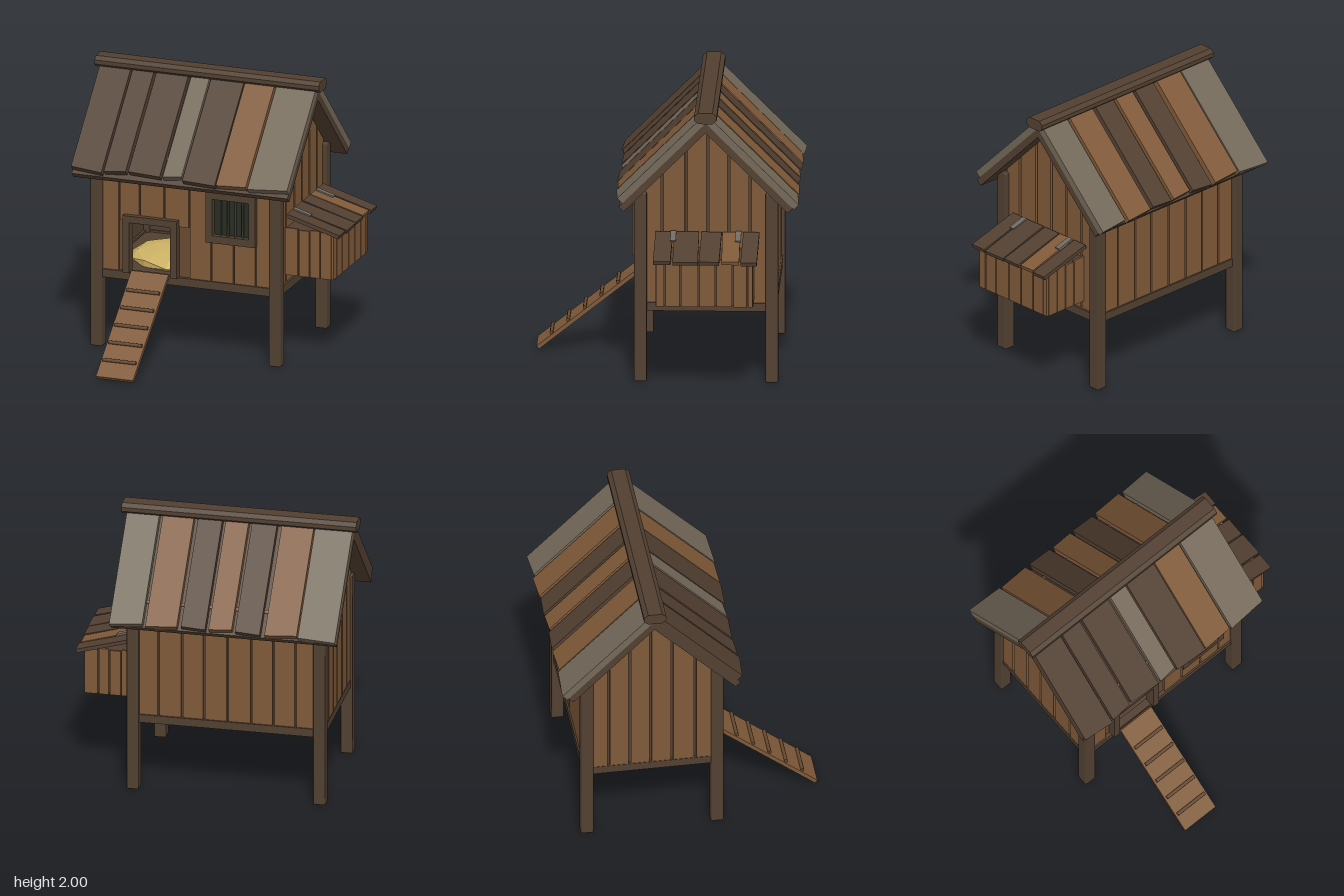
import * as THREE from 'three';
import { RoundedBoxGeometry } from 'three/addons/geometries/RoundedBoxGeometry.js';

const mat = (name, color) => {
  const m = new THREE.MeshStandardMaterial({ color });
  m.name = name;
  return m;
};

export function createModel() {
  const brown = mat('brown plank', 0x805a39);
  const dark = mat('dark timber', 0x524031);
  const grey = mat('weathered grey', 0x746959);
  const shade = mat('shaded plank', 0x674a31);
  const straw = mat('straw', 0xcdb265);
  const glass = mat('window dark', 0x282c22);
  const bar = mat('window bar', 0x3a3c30);
  const metal = mat('hinge metal', 0x6f6a64);

  const model = new THREE.Group();
  model.name = 'chickenCoop';
  const ZC = -0.29, APEX = 1.845;

  const add = (name, geo, material, parent = model) => {
    const m = new THREE.Mesh(geo, material);
    m.name = name;
    parent.add(m);
    return m;
  };
  // Box given by its limits
  const box = (name, material, x0, x1, y0, y1, z0, z1, parent = model) => {
    const m = add(name, new THREE.BoxGeometry(x1 - x0, y1 - y0, z1 - z0), material, parent);
    m.position.set((x0 + x1) / 2, (y0 + y1) / 2, (z0 + z1) / 2);
    return m;
  };
  // Outline in (z, y) extruded along x from x0 to x1
  const prism = (points, x0, x1) => {
    const s = new THREE.Shape(points.map(([z, y]) => new THREE.Vector2(z, y)));
    const g = new THREE.ExtrudeGeometry(s, { depth: x1 - x0, bevelEnabled: false });
    return g.rotateY(-Math.PI / 2).translate(x1, 0, 0);
  };
  // Calls back once per plank between neighbouring cut positions
  const planks = (cuts, gap, fn) => {
    for (let i = 0; i + 1 < cuts.length; i++) fn(cuts[i] + gap / 2, cuts[i + 1] - gap / 2, i);
  };

  // Corner posts
  for (const x of [-0.805, 0.542]) for (const z of [0.175, -0.755]) {
    const p = add('cornerPost', new RoundedBoxGeometry(0.088, 1.38, 0.09, 1, 0.01), dark);
    p.position.set(x, 0.69, z);
  }

  // Floor and sill beams
  box('floor', dark, -0.79, 0.53, 0.515, 0.56, -0.75, 0.17);
  box('frontSill', dark, -0.77, 0.51, 0.515, 0.575, 0.15, 0.205);
  box('backSill', dark, -0.77, 0.51, 0.515, 0.575, -0.785, -0.73);
  for (const x of [-0.835, 0.515]) box('sideSill', dark, x, x + 0.055, 0.515, 0.575, -0.72, 0.14);

  // Inner wall linings, with the doorway left open
  box('backLining', dark, -0.78, 0.52, 0.56, 1.38, -0.755, -0.74);
  box('frontLining', dark, -0.78, -0.64, 0.56, 1.38, 0.16, 0.175);
  box('frontLining', shade, -0.64, -0.55, 0.56, 0.96, 0.16, 0.177);
  box('frontLining', shade, -0.24, -0.11, 0.56, 0.96, 0.16, 0.177);
  box('frontLining', dark, -0.64, -0.11, 0.95, 1.38, 0.16, 0.175);
  box('frontLining', dark, -0.11, 0.52, 0.56, 1.38, 0.16, 0.175);

  // Front and back cladding
  planks([-0.78, -0.64, -0.485, -0.3, -0.11, 0.055, 0.225, 0.39, 0.52], 0.012, (a, b, i) =>
    box('frontPlank', brown, a, b, i >= 1 && i <= 3 ? 0.95 : 0.575, 1.375, 0.174, 0.193));
  planks([-0.78, -0.63, -0.47, -0.31, -0.14, 0.03, 0.19, 0.36, 0.52], 0.014, (a, b) =>
    box('backPlank', brown, a, b, 0.575, 1.375, -0.773, -0.754));

  // Gable ends: lining and planks cut to the roof line
  const roofY = z => APEX + 0.008 - Math.abs(z - ZC);
  const gablePiece = (a, b) => {
    const pts = [[a, 0.57], [b, 0.57], [b, roofY(b)]];
    if (a < ZC && b > ZC) pts.push([ZC, roofY(ZC)]);
    pts.push([a, roofY(a)]);
    return pts;
  };
  for (const [inner, outer] of [[0.52, 0.535], [-0.798, -0.813]]) {
    add('gableLining', prism(gablePiece(-0.75, 0.17), Math.min(inner, outer), Math.max(inner, outer)), dark);
    const x0 = outer > 0 ? outer : outer - 0.019;
    planks([-0.74, -0.6, -0.448, -0.3, -0.147, 0.02, 0.16], 0.018, (a, b) =>
      add('gablePlank', prism(gablePiece(a, b), x0, x0 + 0.019), brown));
  }

  // Door frame
  box('doorPost', dark, -0.6, -0.55, 0.575, 1.0, 0.155, 0.235);
  box('doorPost', dark, -0.24, -0.19, 0.575, 1.0, 0.155, 0.235);
  box('doorLintel', dark, -0.55, -0.24, 0.95, 1.0, 0.155, 0.235);

  // Barred window
  box('windowPane', glass, 0.08, 0.355, 0.93, 1.2, 0.19, 0.198);
  box('windowSide', dark, 0.03, 0.08, 0.875, 1.25, 0.185, 0.24);
  box('windowSide', dark, 0.355, 0.402, 0.875, 1.25, 0.185, 0.24);
  box('windowRail', dark, 0.08, 0.355, 0.875, 0.93, 0.185, 0.24);
  box('windowRail', dark, 0.08, 0.355, 1.2, 1.25, 0.185, 0.24);
  for (let i = 0; i < 4; i++) {
    const b = add('windowBar', new THREE.CylinderGeometry(0.008, 0.008, 0.27, 6), bar);
    b.position.set(0.135 + i * 0.055, 1.065, 0.212);
  }

  // Straw heap
  const hay = add('strawHeap', new THREE.IcosahedronGeometry(1, 1), straw);
  straw.flatShading = true;
  hay.scale.set(0.38, 0.085, 0.34);
  hay.position.set(-0.33, 0.58, -0.26);

  // Ramp with rungs
  const ramp = new THREE.Group();
  ramp.name = 'ramp';
  ramp.position.set(-0.395, 0.302, 0.575);
  ramp.rotation.x = Math.atan2(0.57, 0.715);
  model.add(ramp);
  box('rampBoard', brown, -0.14, 0.14, -0.014, 0.014, -0.455, 0.455, ramp);
  for (let i = 0; i < 5; i++) {
    const r = add('rampRung', new THREE.CylinderGeometry(0.013, 0.013, 0.25, 8).rotateZ(Math.PI / 2), shade, ramp);
    r.position.set(0, 0.022, -0.285 + i * 0.15);
  }

  // Roof slopes: local z runs down the slope, local y is its normal
  const slab = (x0, x1, y0, y1, len) => prism([[-y0, y0], [len, y0], [len, y1], [-y1, y1]], x0, x1);
  // Each plank: left x, right x, material, length, skew
  const frontRoof = [
    [-0.95, -0.715, dark, 0.8, 0.012], [-0.7, -0.54, dark, 0.79, -0.008], [-0.52, -0.28, dark, 0.785, 0.006],
    [-0.258, -0.12, grey, 0.78, -0.01], [-0.108, 0.14, dark, 0.805, 0.006], [0.148, 0.37, brown, 0.8, -0.006],
    [0.385, 0.68, grey, 0.795, -0.012],
  ];
  const backRoof = [
    [-0.95, -0.68, grey, 0.825, 0.008], [-0.67, -0.44, brown, 0.812, -0.008], [-0.405, -0.225, dark, 0.815, 0.006],
    [-0.2, -0.035, brown, 0.805, -0.006], [-0.01, 0.165, dark, 0.81, 0.005], [0.195, 0.42, brown, 0.82, -0.008],
    [0.445, 0.68, grey, 0.822, -0.01],
  ];
  [frontRoof, backRoof].forEach((list, side) => {
    const turn = new THREE.Group();
    turn.name = side ? 'backRoof' : 'frontRoof';
    turn.position.set(0, APEX, ZC);
    turn.rotation.y = side * Math.PI;
    model.add(turn);
    const slope = new THREE.Group();
    slope.rotation.x = Math.PI / 4;
    turn.add(slope);
    const span = (a, b) => side ? [-b, -a] : [a, b];
    add('roofDeck', slab(...span(-0.95, 0.68), 0, 0.05, 0.82), dark, slope);
    box('roofBatten', brown, ...span(-0.94, 0.67), 0.045, 0.06, 0.61, 0.635, slope);
    for (const [a, b, m, len, skew] of list) {
      const geo = slab(...span(a, b), 0.05, 0.1, len);
      // Uneven sawn ends: the lower edge slants across the plank
      const p = geo.attributes.position, mid = (span(a, b)[0] + span(a, b)[1]) / 2;
      for (let i = 0; i < p.count; i++) {
        if (p.getZ(i) > 0.5) p.setZ(i, p.getZ(i) + Math.sign(p.getX(i) - mid) * skew);
      }
      geo.computeVertexNormals();
      add('roofPlank', geo, m, slope);
    }
  });

  // Ridge beam
  add('ridgeBeam', prism([[-0.05, 1.92], [0.05, 1.92], [0.08, 1.945], [0.08, 1.975], [0.05, 2.0],
    [-0.05, 2.0], [-0.08, 1.975], [-0.08, 1.945]].map(([z, y]) => [z + ZC, y]), -0.98, 0.715), dark);

  // Nest box
  const nest = new THREE.Group();
  nest.name = 'nestBox';
  model.add(nest);
  box('nestCore', dark, 0.54, 0.91, 0.645, 0.975, -0.62, 0.04, nest);
  planks([-0.635, -0.595, -0.49, -0.37, -0.25, -0.12, -0.01, 0.055], 0.01, (a, b, i) =>
    box('nestEndPlank', brown, 0.908, 0.925, 0.64, 0.985 - (i % 2) * 0.01, a, b, nest));
  planks([0.555, 0.66, 0.745, 0.825, 0.91], 0.008, (a, b, i) => {
    const top = 0.99 - (i % 2) * 0.008;
    box('nestSidePlank', brown, a, b, 0.64, top, 0.038, 0.055, nest);
    box('nestSidePlank', brown, a, b, 0.64, top, -0.635, -0.618, nest);
  });

  // Sloping lid with hinges
  const lid = new THREE.Group();
  lid.name = 'nestLid';
  lid.position.set(0.775, 1.026, 0);
  lid.rotation.z = -0.28;
  nest.add(lid);
  [[-0.665, -0.55, dark, 0.213], [-0.535, -0.41, brown, 0.2], [-0.398, -0.255, dark, 0.208],
    [-0.243, -0.065, dark, 0.212], [-0.053, 0.07, dark, 0.206]].forEach(([a, b, m, end], i) => {
    const p = box('lidPlank', m, -0.21, end, -0.014, 0.014, a, b, lid);
    p.rotation.y = (i % 2 ? 1 : -1) * 0.012;
  });
  for (const z of [-0.52, -0.06]) box('lidHinge', metal, -0.205, -0.07, 0.01, 0.024, z - 0.02, z + 0.02, lid);

  return model;
}
